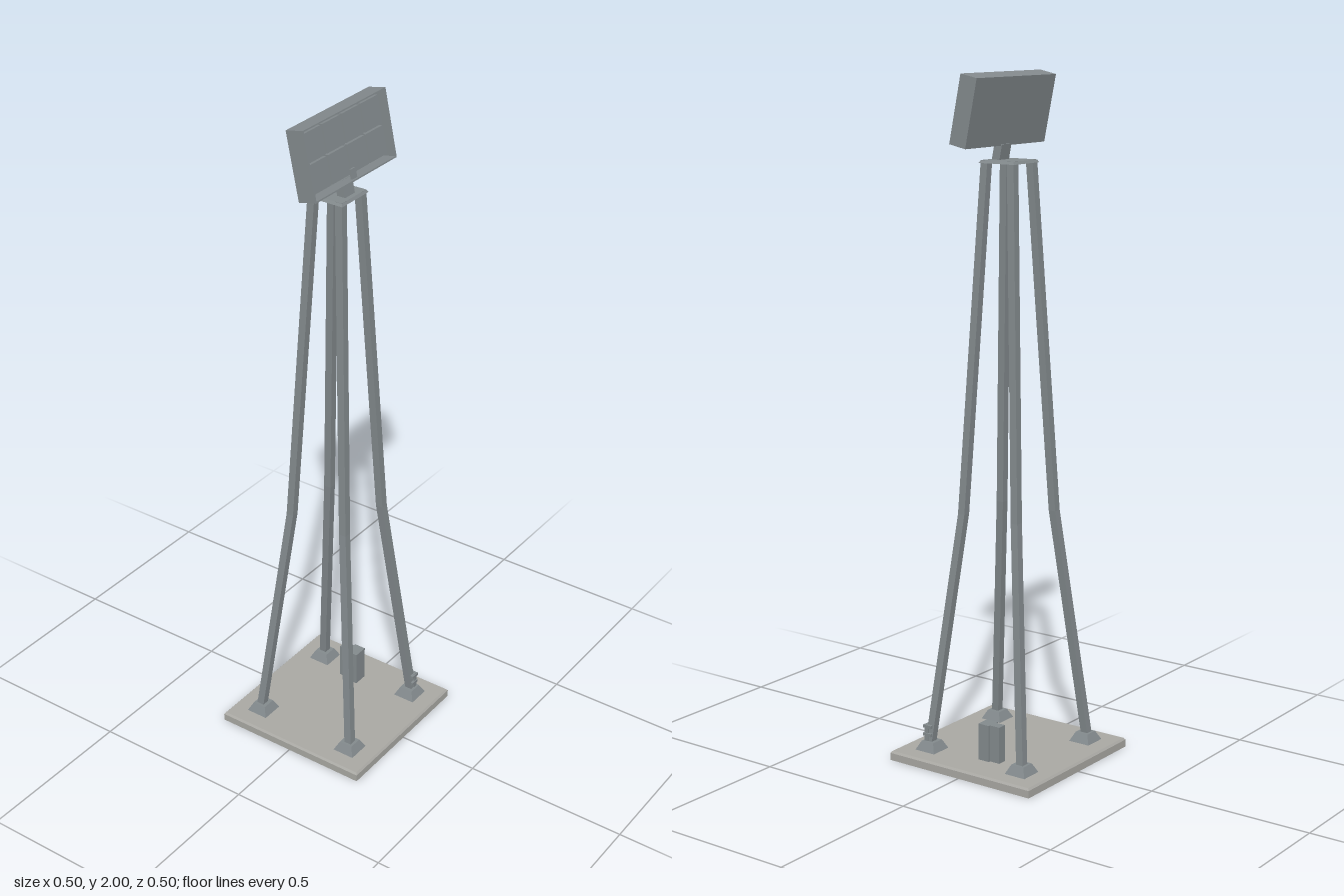
import * as THREE from 'three';

const steel = new THREE.MeshStandardMaterial({ color: 0x82898c });
steel.name = 'grey steel';
const concrete = new THREE.MeshStandardMaterial({ color: 0xa8a7a2 });
concrete.name = 'pale concrete';

function add(parent, name, geometry, material, x = 0, y = 0, z = 0) {
  const mesh = new THREE.Mesh(geometry, material);
  mesh.name = name;
  mesh.position.set(x, y, z);
  parent.add(mesh);
  return mesh;
}

const box = (w, h, d) => new THREE.BoxGeometry(w, h, d);

// Box whose top is narrower than its bottom
function taperedBox(bottom, top, height) {
  const g = box(bottom, height, bottom).toNonIndexed();
  const p = g.attributes.position;
  for (let i = 0; i < p.count; i++) {
    if (p.getY(i) > 0) {
      p.setX(i, p.getX(i) * top / bottom);
      p.setZ(i, p.getZ(i) * top / bottom);
    }
  }
  g.computeVertexNormals();
  return g;
}

// Square bar that leans inward and bends once; stations are [offset, y]
function legGeometry(sx, sz) {
  const stations = [[0.166, 0.04], [0.094, 0.74], [0.045, 1.755]];
  const g = new THREE.BoxGeometry(0.023, 2, 0.023, 1, 2, 1).toNonIndexed();
  const p = g.attributes.position;
  for (let i = 0; i < p.count; i++) {
    const [offset, y] = stations[Math.round(p.getY(i)) + 1];
    p.setXYZ(i, p.getX(i) + sx * offset, y, p.getZ(i) + sz * offset);
  }
  g.computeVertexNormals();
  return g;
}

export function createModel() {
  const model = new THREE.Group();
  model.name = 'floodlightTower';

  // Ground slab with a chamfered rim
  add(model, 'slab', box(0.5, 0.022, 0.5), concrete, 0, 0.011, 0);
  add(model, 'slabTop', taperedBox(0.5, 0.49, 0.006), concrete, 0, 0.025, 0);

  // Four legs on tapered feet
  for (const sx of [-1, 1]) {
    for (const sz of [-1, 1]) {
      add(model, 'foot', taperedBox(0.069, 0.042, 0.027), steel, sx * 0.163, 0.0415, sz * 0.163);
      add(model, 'leg', legGeometry(sx, sz), steel);
    }
  }

  // Cable clamps low on the front left leg
  for (const y of [0.075, 0.1]) {
    add(model, 'cableClamp', box(0.028, 0.009, 0.028), steel, 0.167, y, 0.167);
  }
  add(model, 'cableStub', box(0.012, 0.06, 0.012), steel, 0.172, 0.075, 0.172);

  // Control cabinet on the slab
  add(model, 'cabinet', box(0.045, 0.11, 0.037), steel, 0.1285, 0.083, -0.0185);
  add(model, 'cabinetBack', box(0.029, 0.11, 0.034), steel, 0.13, 0.083, -0.053);

  // Platform joining the leg tops
  add(model, 'platform', taperedBox(0.122, 0.112, 0.008), steel, 0, 1.751, 0);

  // Tilted lamp head
  const head = new THREE.Group();
  head.name = 'lampHead';
  head.position.set(0, 1.896, 0.019);
  head.rotation.x = -0.206;
  model.add(head);

  const W = 0.374, H = 0.196, D = 0.056, T = 0.004;
  add(head, 'housingBack', box(W, H, 0.008), steel, 0, 0, -D / 2 + 0.004);
  for (const s of [-1, 1]) {
    add(head, 'housingRim', box(W, T, D), steel, 0, s * (H - T) / 2, 0);
    add(head, 'housingSide', box(T, H, D), steel, s * (W - T) / 2, 0, 0);
  }

  // Two rows of four lamps
  for (let row = 0; row < 2; row++) {
    for (let col = 0; col < 4; col++) {
      add(head, 'lamp', box(0.079, 0.08, 0.032), steel,
        (col - 1.5) * 0.0865, (row - 0.5) * 0.085, -0.005);
    }
  }

  // Mounting post and its front bracket
  add(head, 'post', box(0.045, 0.055, 0.026), steel, 0, -0.121, -0.018);
  add(head, 'bracket', box(0.022, 0.034, 0.006), steel, 0, -0.083, 0.018);

  return model;
}
